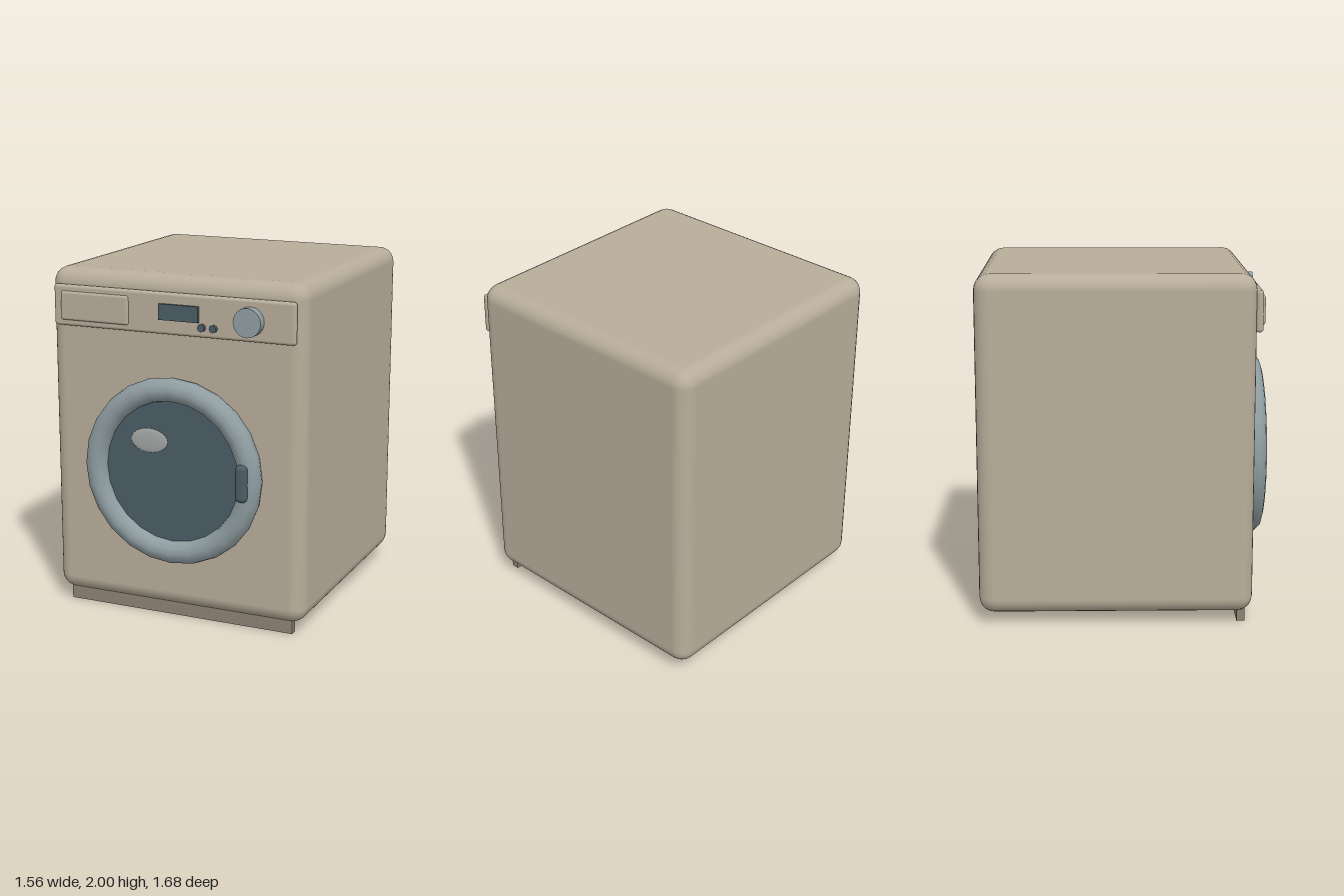
import * as THREE from 'three';
import { RoundedBoxGeometry } from 'three/addons/geometries/RoundedBoxGeometry.js';

function material(name, color) {
  const m = new THREE.MeshStandardMaterial({ color });
  m.name = name;
  return m;
}

export function createModel() {
  const model = new THREE.Group();
  model.name = 'washingMachine';

  const enamel = material('warm beige enamel', 0xb8ad9a);
  const plinthPaint = material('dark beige', 0x8c8274);
  const metal = material('blue grey metal', 0x8f9da1);
  const dark = material('dark slate', 0x4b5d65);
  const shine = material('pale grey', 0xa2a6a4);

  function add(name, geometry, mat, x, y, z) {
    const mesh = new THREE.Mesh(geometry, mat);
    mesh.name = name;
    mesh.position.set(x, y, z);
    model.add(mesh);
    return mesh;
  }
  // Cylinder whose axis points to the front
  const disc = (radius, depth, sides) =>
    new THREE.CylinderGeometry(radius, radius, depth, sides).rotateX(Math.PI / 2);

  // Cabinet and front plinth
  add('cabinet', new RoundedBoxGeometry(1.56, 1.935, 1.56, 3, 0.09), enamel, 0, 1.0325, -0.06);
  add('plinth', new THREE.BoxGeometry(1.41, 0.09, 0.045), plinthPaint, 0, 0.045, 0.655);

  // Control panel with detergent drawer, display, buttons and dial
  add('controlPanel', new RoundedBoxGeometry(1.47, 0.235, 0.04, 3, 0.018), enamel, 0, 1.793, 0.734);
  add('detergentDrawer', new RoundedBoxGeometry(0.425, 0.165, 0.03, 3, 0.014), enamel, -0.473, 1.793, 0.754);
  add('display', new THREE.BoxGeometry(0.24, 0.09, 0.03), dark, 0.05, 1.804, 0.754);
  for (const x of [0.19, 0.26]) add('button', disc(0.022, 0.03, 8), dark, x, 1.733, 0.76);
  add('dial', disc(0.081, 0.06, 24), metal, 0.475, 1.79, 0.776);

  // Round door with glass, reflection and handle
  add('doorRing', new THREE.TorusGeometry(0.476, 0.068, 12, 24), metal, 0, 0.89, 0.747);
  add('doorGlass', disc(0.43, 0.04, 32), dark, 0, 0.89, 0.735);
  const reflection = add('glassReflection', new THREE.SphereGeometry(1, 24, 12), shine, -0.14, 1.06, 0.756);
  reflection.scale.set(0.115, 0.07, 0.009);
  add('doorHandle', new RoundedBoxGeometry(0.07, 0.215, 0.06, 3, 0.028), dark, 0.45, 0.893, 0.81);

  return model;
}
